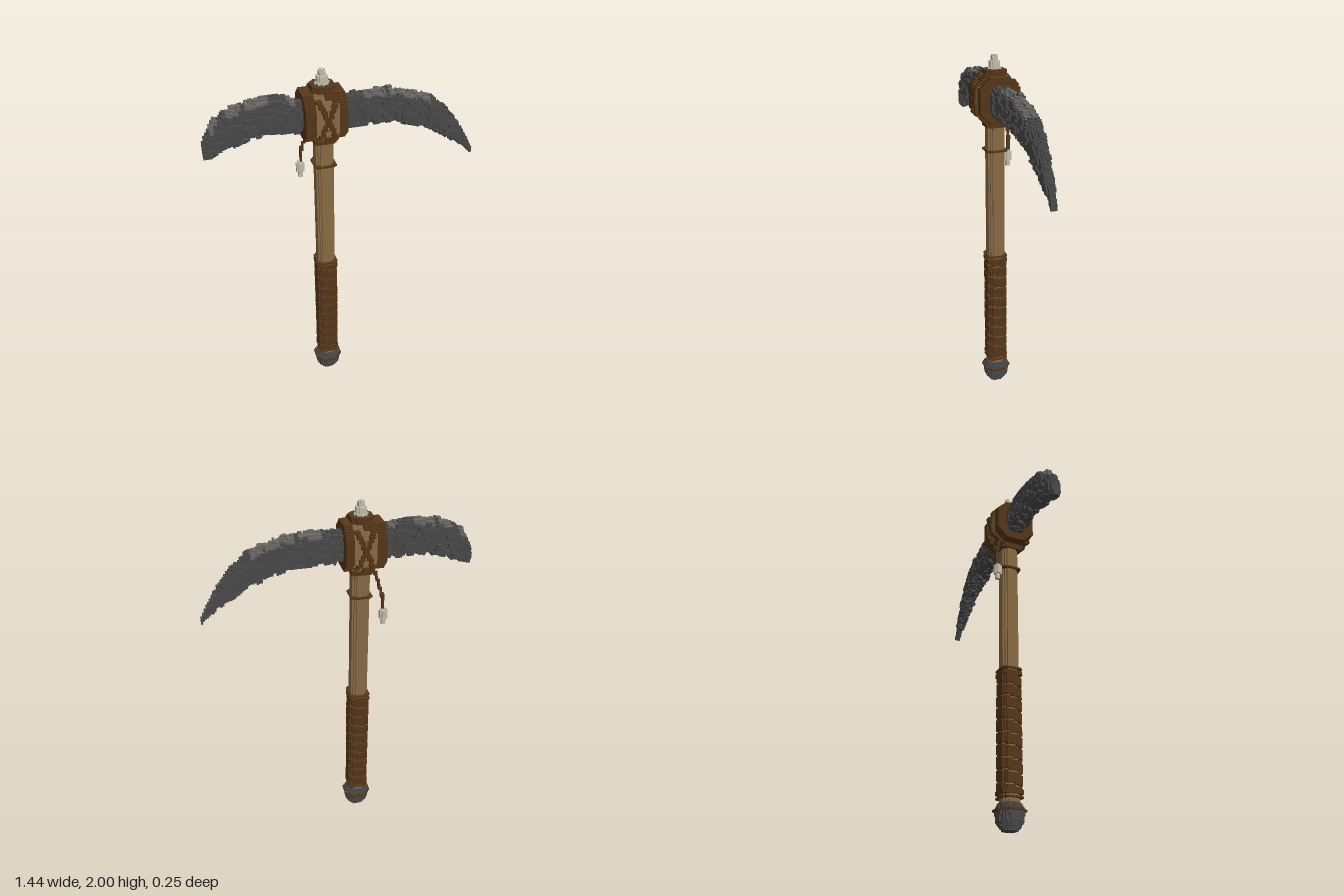
import * as THREE from 'three';

const S = 2 / 190;          // edge of one cube
const CX = -0.12, CZ = 0.005; // axis of the shaft

const material = (name, color) => {
  const m = new THREE.MeshStandardMaterial({ color });
  m.name = name;
  return m;
};

// Piecewise-linear profile through [position, value] points
function profile(points) {
  return t => {
    if (t <= points[0][0]) return points[0][1];
    for (let i = 1; i < points.length; i++) {
      const [a, va] = points[i - 1], [b, vb] = points[i];
      if (t <= b) return va + (vb - va) * (t - a) / (b - a);
    }
    return points[points.length - 1][1];
  };
}

// Repeatable noise in 0..1
function noise(a, b, c) {
  let h = Math.imul(a, 374761393) ^ Math.imul(b, 668265263) ^ Math.imul(c, 2147483629);
  h = Math.imul(h ^ (h >>> 13), 1274126177);
  return ((h ^ (h >>> 16)) >>> 0) / 4294967295;
}

// Octagonal cross-section test
const octagon = (a, b, ha, hb, cut) => {
  a = Math.abs(a); b = Math.abs(b);
  return a < ha && b < hb && a + b < ha + hb - cut;
};

export function createModel() {
  const mats = {
    wood: material('wood', 0x8d6e46),
    leather: material('leather', 0x583819),
    stone: material('darkStone', 0x4b4b4b),
    chip: material('paleStone', 0x6c6a65),
    bone: material('bone', 0xc9c5b0),
  };
  const model = new THREE.Group();
  model.name = 'pickaxe';

  // Builds the outer faces of all cubes for which pick(dx, y, dz) names a material
  function part(name, [x0, x1], [y0, y1], [z0, z1], pick) {
    const group = new THREE.Group();
    group.name = name;
    const data = {};
    const lo = [Math.floor(x0 / S) - 1, Math.max(0, Math.floor(y0 / S) - 1), Math.floor(z0 / S) - 1];
    const hi = [Math.ceil(x1 / S) + 1, Math.ceil(y1 / S) + 1, Math.ceil(z1 / S) + 1];
    const at = (i, j, k) => {
      const x = i * S, y = (j + 0.5) * S, z = k * S;
      if (j < 0 || x < x0 || x > x1 || y < y0 || y > y1 || z < z0 || z > z1) return null;
      return pick(x, y, z, i, j, k);
    };
    const corners = [[-1, -1], [1, -1], [1, 1], [-1, -1], [1, 1], [-1, 1]];
    for (let i = lo[0]; i <= hi[0]; i++)
      for (let j = lo[1]; j <= hi[1]; j++)
        for (let k = lo[2]; k <= hi[2]; k++) {
          const key = at(i, j, k);
          if (!key) continue;
          const d = data[key] ??= { pos: [], nor: [] };
          const center = [CX + i * S, (j + 0.5) * S, CZ + k * S];
          for (let axis = 0; axis < 3; axis++)
            for (const s of [-1, 1]) {
              const next = [i, j, k];
              next[axis] += s;
              if (at(...next)) continue;
              const n = [0, 0, 0];
              n[axis] = s;
              for (const [u, v] of corners) {
                const p = center.slice();
                p[axis] += s * S / 2;
                p[(axis + 1) % 3] += s * u * S / 2;
                p[(axis + 2) % 3] += v * S / 2;
                d.pos.push(...p);
                d.nor.push(...n);
              }
            }
        }
    for (const [key, d] of Object.entries(data)) {
      const g = new THREE.BufferGeometry();
      g.setAttribute('position', new THREE.Float32BufferAttribute(d.pos, 3));
      g.setAttribute('normal', new THREE.Float32BufferAttribute(d.nor, 3));
      const mesh = new THREE.Mesh(g, mats[key]);
      mesh.name = name + '_' + mats[key].name;
      group.add(mesh);
    }
    model.add(group);
  }
  const around = r => [-r, r];

  // Octagonal shaft
  const inShaft = (x, z) => octagon(x, z, 0.047, 0.047, 0.025);
  part('shaft', around(0.06), [0.13, 1.66], around(0.06), (x, y, z) => inShaft(x, z) && 'wood');

  // Spiral leather grip, its groove showing the wood
  const pitch = 0.067;
  part('gripWrap', around(0.07), [0.2, 0.82], around(0.07), (x, y, z) => {
    const turn = Math.atan2(x, z) / (2 * Math.PI);
    const phase = ((y / pitch + turn) % 1 + 1) % 1;
    return phase > S / pitch && !inShaft(x, z) && octagon(x, z, 0.058, 0.058, 0.025) && 'leather';
  });

  // Thin leather rings: grip ends, upper shaft, collar under the head
  const rings = [['gripRing', 0.157, 0.170], ['gripRing', 0.178, 0.2], ['gripRing', 0.82, 0.842],
    ['gripRing', 0.85, 0.863], ['shaftRing', 1.48, 1.49], ['headCollar', 1.62, 1.645]];
  for (const [name, y0, y1] of rings)
    part(name, around(0.07), [y0, y1], around(0.07), (x, y, z) =>
      !inShaft(x, z) && octagon(x, z, 0.06, 0.06, 0.025) && 'leather');

  // Rounded stone pommel with its leather band
  const pommelRadius = profile([[0, 0.036], [0.02, 0.053], [0.05, 0.069], [0.1, 0.072], [0.135, 0.058]]);
  part('pommel', around(0.08), [0, 0.135], around(0.08), (x, y, z) =>
    Math.hypot(x, z) < pommelRadius(y) && 'stone');
  part('pommelBand', around(0.09), [0.094, 0.108], around(0.09), (x, y, z) =>
    Math.hypot(x, z) < 0.082 && Math.hypot(x, z) >= pommelRadius(y) && 'leather');

  // Head block: leather cheeks, wooden middle, raised crossed straps
  part('headBlock', [-0.109, 0.105], [1.635, 1.91], around(0.125), (x, y, z) => {
    const dy = y - 1.775;
    if (Math.abs(x) > 0.06) return octagon(dy, z, 0.125, 0.107, 0.06) && 'leather';
    const cross = Math.abs(Math.abs(x) - 0.45 * Math.abs(dy)) < 0.013;
    const onEnd = Math.abs(dy) > 0.1;
    const strap = onEnd ? x * z >= 0 || Math.abs(z) < 0.05 : cross;
    if (strap) return octagon(dy, z, 0.134, 0.117, 0.06) && 'leather';
    return octagon(dy, z, 0.126, 0.107, 0.06) && 'wood';
  });
  part('topCap', around(0.08), [1.9, 1.922], around(0.08), (x, y, z) =>
    octagon(x, z, 0.063, 0.063, 0.035) && 'leather');

  // Bone spike on top
  const spikeRadius = profile([[1.92, 0.034], [1.94, 0.03], [1.965, 0.024], [1.985, 0.017], [2, 0.012]]);
  part('topSpike', around(0.04), [1.92, 2], around(0.04), (x, y, z) =>
    Math.hypot(x, z) < spikeRadius(y) && 'bone');

  // Chipped stone blades: upper edge, lower edge and half thickness along x
  const top = profile([[-0.725, 1.69], [-0.69, 1.76], [-0.66, 1.81], [-0.6, 1.845], [-0.5, 1.873],
    [-0.42, 1.885], [-0.3, 1.882], [-0.23, 1.855], [-0.01, 1.845], [0.12, 1.862], [0.25, 1.85],
    [0.35, 1.825], [0.45, 1.785], [0.54, 1.712], [0.62, 1.615], [0.68, 1.52], [0.73, 1.42]]);
  const bottom = profile([[-0.725, 1.61], [-0.69, 1.62], [-0.6, 1.66], [-0.5, 1.69], [-0.4, 1.7],
    [-0.23, 1.692], [0.12, 1.687], [0.25, 1.68], [0.35, 1.65], [0.45, 1.613], [0.54, 1.555],
    [0.62, 1.5], [0.68, 1.453], [0.73, 1.4]]);
  const thick = profile([[-0.73, 0.022], [-0.68, 0.038], [-0.6, 0.05], [-0.5, 0.055], [0.3, 0.055],
    [0.42, 0.048], [0.55, 0.036], [0.65, 0.024], [0.73, 0.012]]);
  const pale = [[-0.68, -0.64], [-0.6, -0.52], [-0.5, -0.39], [-0.3, -0.26], [0.09, 0.2], [0.22, 0.44]];
  const blade = (dx, y, dz, i, j, k) => {
    const x = dx + CX, hi = top(x), lo = bottom(x);
    const t = (y - (hi + lo) / 2) / ((hi - lo) / 2), w = dz / thick(x);
    const rough = noise(Math.floor((i + (j >> 1)) / 3), j >> 1, k > 0 ? 1 : k < 0 ? 2 : 3) - 0.5;
    if (Math.abs(t) ** 2.5 + Math.abs(w) ** 2.5 > 1 + 0.7 * rough) return null;
    const patch = pale.some(([a, b]) => x > a && x < b);
    return patch && hi - y < 0.035 + 0.03 * rough && Math.abs(dz) < 0.04 ? 'chip' : 'stone';
  };
  part('broadBlade', [-0.725 - CX, -0.22 - CX], [1.6, 1.9], around(0.065), blade);
  part('pointedBlade', [-0.025 - CX, 0.722 - CX], [1.41, 1.88], around(0.065), blade);

  // Hanging cord behind the head, with a bone charm
  const cordX = profile([[1.45, -0.097], [1.52, -0.091], [1.58, -0.075], [1.64, -0.058]]);
  const cordZ = profile([[1.45, -0.112], [1.52, -0.112], [1.58, -0.1], [1.64, -0.086]]);
  part('cord', [-0.12, -0.04], [1.45, 1.65], [-0.13, -0.06], (x, y, z) =>
    Math.abs(x - cordX(y)) < 0.0075 && Math.abs(z - cordZ(y)) < 0.0075 && 'leather');
  const charmRadius = profile([[1.36, 0.011], [1.388, 0.012], [1.398, 0.021], [1.43, 0.021], [1.452, 0.012]]);
  part('charm', [-0.14, -0.06], [1.355, 1.452], [-0.15, -0.07], (x, y, z) =>
    Math.hypot(x + 0.1, z + 0.11) < charmRadius(y) && 'bone');

  return model;
}
